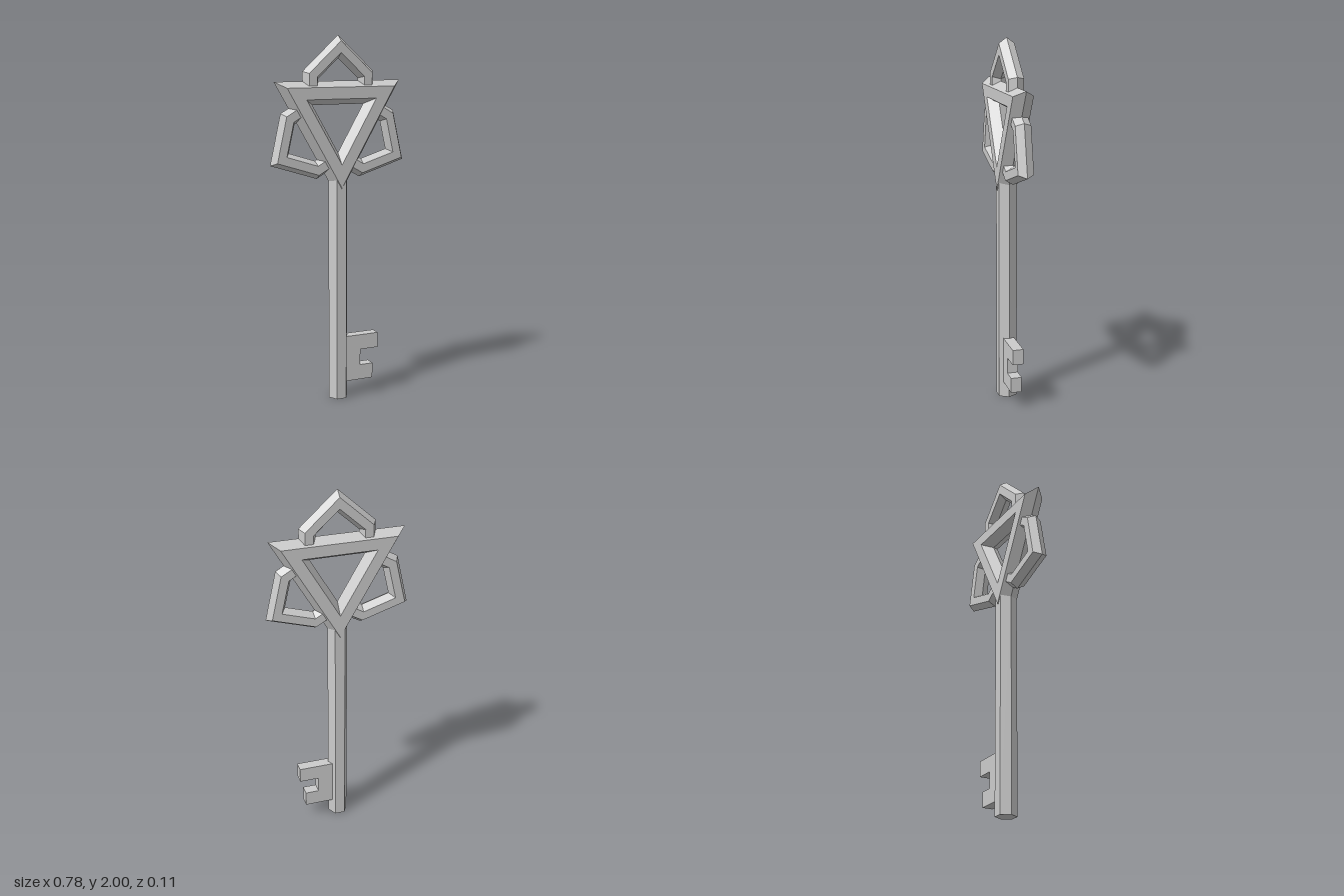
import * as THREE from 'three';

const material = new THREE.MeshStandardMaterial({ color: 0xcccccc, flatShading: true });

// Hexagonal section across the path: [sideways, depth] in units of half width and half depth
const SECTION = [[1, 0], [0.5, 1], [-0.5, 1], [-1, 0], [-0.5, -1], [0.5, -1]];

// Sweeps the section along a flat path in the xy plane, with mitred corners
function mitredBar(path, halfWidth, halfDepth, closed) {
  const pts = path.map(([x, y]) => new THREE.Vector2(x, y));
  const n = pts.length;
  const sideNormal = (i) => {
    const d = pts[(i + 1) % n].clone().sub(pts[i]).normalize();
    return new THREE.Vector2(-d.y, d.x);
  };
  const rings = pts.map((p, i) => {
    const first = !closed && i === 0, last = !closed && i === n - 1;
    const after = sideNormal(last ? i - 1 : i);
    const before = first ? after : sideNormal((i + n - 1) % n);
    const miter = before.clone().add(after).divideScalar(1 + before.dot(after));
    return SECTION.map(([s, d]) =>
      [p.x + miter.x * s * halfWidth, p.y + miter.y * s * halfWidth, d * halfDepth]);
  });

  const out = [];
  const tri = (a, b, c) => out.push(...a, ...b, ...c);
  for (let i = 0; i < (closed ? n : n - 1); i++) {
    const r = rings[i], q = rings[(i + 1) % n];
    for (let j = 0; j < 6; j++) {
      const k = (j + 1) % 6;
      tri(r[j], r[k], q[k]);
      tri(r[j], q[k], q[j]);
    }
  }
  if (!closed) {
    const a = rings[0], b = rings[n - 1];
    for (let j = 1; j < 5; j++) {
      tri(a[0], a[j + 1], a[j]);
      tri(b[0], b[j], b[j + 1]);
    }
  }
  const geometry = new THREE.BufferGeometry();
  geometry.setAttribute('position', new THREE.Float32BufferAttribute(out, 3));
  geometry.computeVertexNormals();
  return geometry;
}

export function createModel() {
  const model = new THREE.Group();
  const add = (name, geometry, parent = model) => {
    const mesh = new THREE.Mesh(geometry, material);
    mesh.name = name;
    parent.add(mesh);
    return mesh;
  };

  // Hexagonal shaft with a ridge facing each side
  const shaftHeight = 1.24;
  const shaft = new THREE.CylinderGeometry(0.0555, 0.0555, shaftHeight, 6);
  shaft.rotateY(Math.PI / 2).scale(1, 1, 1.06).translate(0, shaftHeight / 2, 0);
  add('shaft', shaft);

  // Notched bit on the left of the shaft
  const outline = [[0.03, 0.09], [0.2, 0.09], [0.2, 0.175], [0.124, 0.175],
    [0.124, 0.265], [0.232, 0.265], [0.232, 0.35], [0.03, 0.35]];
  const bitShape = new THREE.Shape(outline.map(([x, y]) => new THREE.Vector2(x, y)));
  const bit = new THREE.ExtrudeGeometry(bitShape, { depth: 0.06, bevelEnabled: false });
  add('bit', bit.translate(0, 0, -0.03));

  // Bow: triangular frame with one pointed loop on each side
  const bow = new THREE.Group();
  bow.name = 'bow';
  bow.position.y = 1.549;
  model.add(bow);

  const inradius = 0.1485, half = inradius * Math.sqrt(3);
  const triangle = [[half, inradius], [-half, inradius], [0, -2 * inradius]];
  add('triangleFrame', mitredBar(triangle, 0.0625, 0.055, true), bow);

  const loopPath = [[0.16, 0.16], [0.16, 0.243], [0, 0.39], [-0.16, 0.243], [-0.16, 0.16]];
  const loop = mitredBar(loopPath, 0.045, 0.042, false);
  ['topLoop', 'rightLoop', 'leftLoop'].forEach((name, i) => {
    add(name, loop, bow).rotation.z = i * Math.PI * 2 / 3;
  });

  return model;
}
